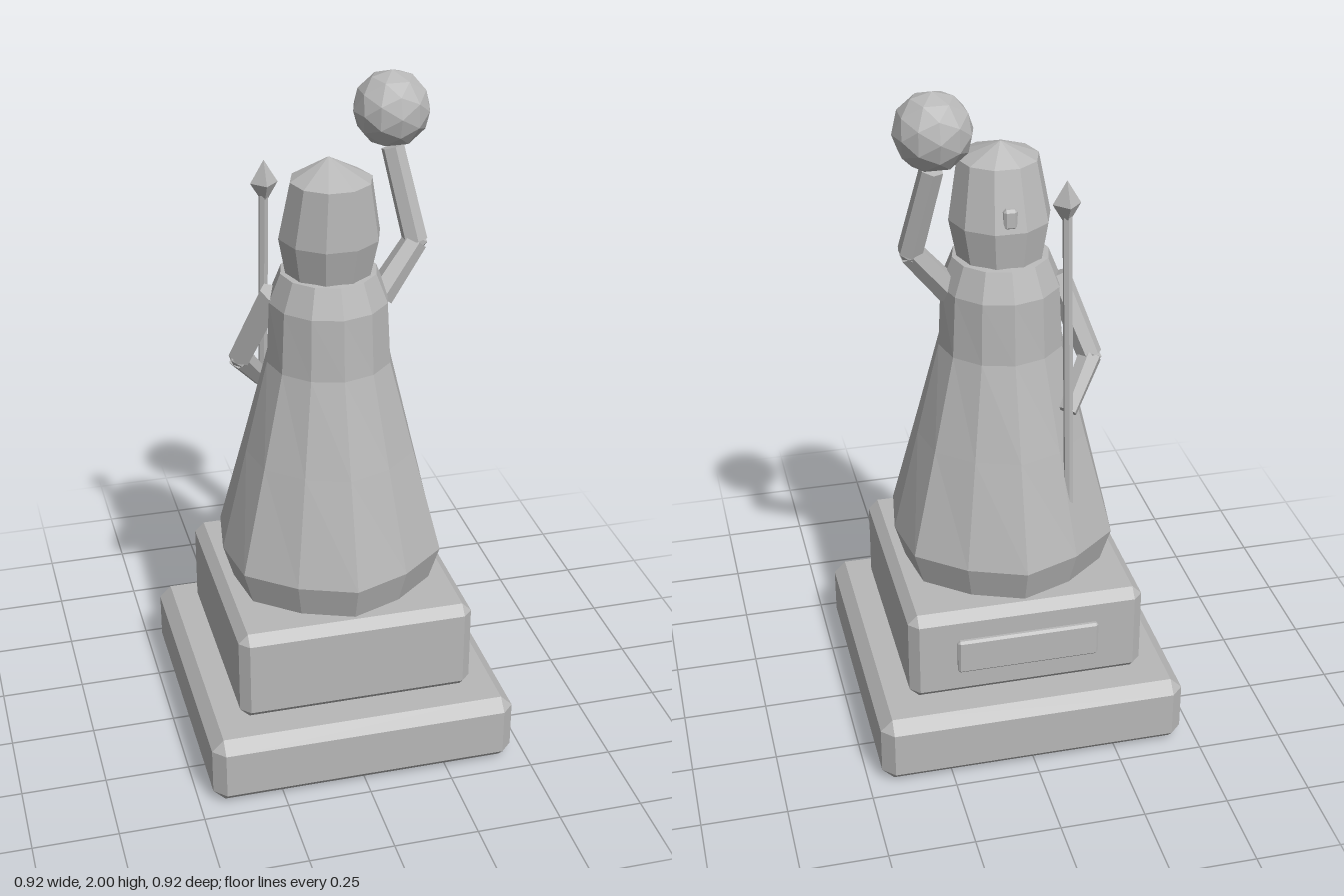
import * as THREE from 'three';
import { ConvexGeometry } from 'three/addons/geometries/ConvexGeometry.js';

const V = (x, y, z) => new THREE.Vector3(x, y, z);

export function createModel() {
  const group = new THREE.Group();
  const stone = new THREE.MeshStandardMaterial({ color: 0xb8b8b8 });
  stone.name = 'stone';

  // Adds a faceted mesh: every face keeps its own flat normal.
  function add(name, geometry, parent = group) {
    const flat = geometry.index ? geometry.toNonIndexed() : geometry;
    flat.computeVertexNormals();
    const mesh = new THREE.Mesh(flat, stone);
    mesh.name = name;
    parent.add(mesh);
    return mesh;
  }

  // Box with chamfered edges and corners, given by half sizes.
  function chamferBox(hx, hy, hz, c) {
    const points = [];
    for (const x of [-1, 1]) for (const y of [-1, 1]) for (const z of [-1, 1]) {
      points.push(
        V(x * hx, y * (hy - c), z * (hz - c)),
        V(x * (hx - c), y * hy, z * (hz - c)),
        V(x * (hx - c), y * (hy - c), z * hz));
    }
    return new ConvexGeometry(points);
  }

  // Tapered prism between two points.
  function limb(a, b, ra, rb, sides = 6) {
    const dir = b.clone().sub(a);
    const geo = new THREE.CylinderGeometry(rb, ra, dir.length(), sides);
    geo.applyQuaternion(new THREE.Quaternion().setFromUnitVectors(V(0, 1, 0), dir.normalize()));
    const mid = a.clone().add(b).multiplyScalar(0.5);
    return geo.translate(mid.x, mid.y, mid.z);
  }

  // Two-step pedestal and its plaque
  add('pedestalBase', chamferBox(0.458, 0.106, 0.458, 0.035)).position.y = 0.106;
  add('pedestalBlock', chamferBox(0.352, 0.143, 0.352, 0.028)).position.y = 0.354;
  add('plaque', chamferBox(0.212, 0.055, 0.015, 0.007)).position.set(0, 0.355, -0.352);

  // Robe: twelve-sided, alternate corners pulled in as folds near the hem
  const robeProfile = [[0, 0.49], [0.312, 0.495], [0.345, 0.6], [0.258, 0.92],
    [0.184, 1.2], [0.174, 1.385], [0.14, 1.47], [0, 1.49]];
  const robe = new THREE.LatheGeometry(robeProfile.map(p => new THREE.Vector2(...p)), 12);
  const rp = robe.attributes.position;
  for (let i = 0; i < rp.count; i++) {
    const corner = Math.floor(i / robeProfile.length);
    const fold = corner % 2 ? 1 - 0.055 * THREE.MathUtils.clamp((1.3 - rp.getY(i)) / 0.6, 0, 1) : 1;
    rp.setX(i, rp.getX(i) * fold);
    rp.setZ(i, rp.getZ(i) * fold);
  }
  add('robe', robe);

  // Hooded head: ten-sided, the crown leaning towards +z
  const headProfile = [[0, 1.43], [0.12, 1.44], [0.147, 1.58], [0.117, 1.75], [0, 1.805]];
  const lean = [0, 0, 0.01, 0.03, 0];
  const head = new THREE.LatheGeometry(headProfile.map(p => new THREE.Vector2(...p)), 10, Math.PI / 10);
  const hp = head.attributes.position;
  for (let i = 0; i < hp.count; i++) hp.setZ(i, hp.getZ(i) + lean[i % headProfile.length]);
  add('head', head);
  add('nose', chamferBox(0.02, 0.03, 0.014, 0.008)).position.set(0, 1.62, -0.115);

  // Raised left arm holding an orb
  const raisedArm = new THREE.Group();
  raisedArm.name = 'raisedArm';
  group.add(raisedArm);
  const elbowL = V(0.265, 1.515, -0.035);
  add('raisedUpperArm', limb(V(0.15, 1.37, 0), elbowL, 0.042, 0.037), raisedArm);
  add('raisedForearm', limb(elbowL, V(0.213, 1.78, -0.1), 0.037, 0.034), raisedArm);
  add('raisedElbow', new THREE.IcosahedronGeometry(0.036, 0), raisedArm).position.copy(elbowL);
  add('orb', new THREE.IcosahedronGeometry(0.111, 1)).position.set(0.21, 1.89, -0.107);

  // Lowered right arm reaching to the spear
  const spearArm = new THREE.Group();
  spearArm.name = 'spearArm';
  group.add(spearArm);
  const elbowR = V(-0.238, 1.17, -0.11);
  const hand = V(-0.15, 1.045, -0.2);
  add('spearUpperArm', limb(V(-0.155, 1.4, -0.03), elbowR, 0.04, 0.036), spearArm);
  add('spearForearm', limb(elbowR, hand, 0.036, 0.028), spearArm);
  add('spearElbow', new THREE.IcosahedronGeometry(0.035, 0), spearArm).position.copy(elbowR);

  // Spear with a diamond-shaped head
  add('spearShaft', limb(V(-0.15, 0.6, -0.238), V(-0.145, 1.64, -0.178), 0.014, 0.014));
  const tip = new THREE.OctahedronGeometry(1).scale(0.04, 0.068, 0.04);
  add('spearHead', tip).position.set(-0.143, 1.677, -0.177);

  return group;
}
